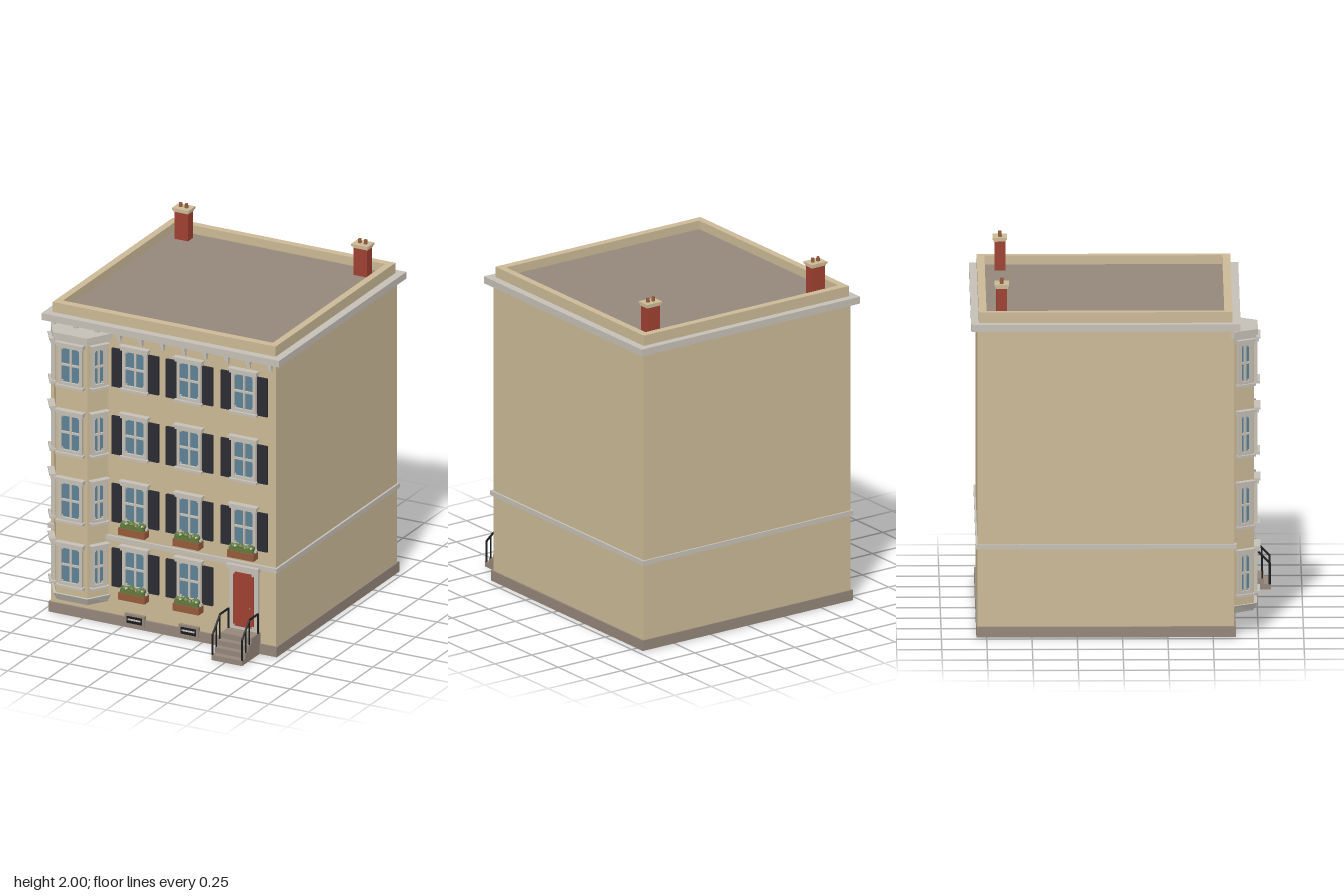
import * as THREE from 'three';

const mat = (name, color) => {
  const m = new THREE.MeshStandardMaterial({ color });
  m.name = name;
  return m;
};
const M = {
  wall: mat('sandWall', 0xcbb996),
  trim: mat('paleTrim', 0xc5c0b6),
  stone: mat('brownStone', 0x94867a),
  red: mat('brickRed', 0x9e4030),
  glass: mat('windowGlass', 0x5d8397),
  shutter: mat('darkShutter', 0x2b2b34),
  clay: mat('terracotta', 0x955a3a),
  leaf: mat('leafGreen', 0x5f7a3c),
  iron: mat('blackIron', 0x1a1b1e),
  flower: mat('flowerCream', 0xd8c8b8),
};

const FRONT = 0.615, BACK = -0.8, MID = (FRONT + BACK) / 2;

function add(parent, name, geo, material, x = 0, y = 0, z = 0) {
  const mesh = new THREE.Mesh(geo, material);
  mesh.name = name;
  mesh.position.set(x, y, z);
  parent.add(mesh);
  return mesh;
}

// Box given by its x centre, width, y range and z range
function block(parent, name, material, x, w, y0, y1, z0, z1) {
  return add(parent, name, new THREE.BoxGeometry(w, y1 - y0, z1 - z0), material, x, (y0 + y1) / 2, (z0 + z1) / 2);
}

function group(parent, name, x = 0, y = 0, z = 0, ry = 0) {
  const g = new THREE.Group();
  g.name = name;
  g.position.set(x, y, z);
  g.rotation.y = ry;
  parent.add(g);
  return g;
}

function rectPoints(x0, x1, y0, y1) {
  return [[x0, y0], [x1, y0], [x1, y1], [x0, y1]].map(p => new THREE.Vector2(...p));
}

// Upright prism from a plan outline in x, z
function prism(plan, h) {
  const shape = new THREE.Shape(plan.map(([x, z]) => new THREE.Vector2(x, -z)));
  return new THREE.ExtrudeGeometry(shape, { depth: h, bevelEnabled: false }).rotateX(-Math.PI / 2);
}

function rod(parent, name, a, b, r, material) {
  const A = new THREE.Vector3(...a), B = new THREE.Vector3(...b);
  const m = add(parent, name, new THREE.CylinderGeometry(r, r, A.distanceTo(B), 8), material);
  m.position.copy(A).add(B).multiplyScalar(0.5);
  m.quaternion.setFromUnitVectors(new THREE.Vector3(0, 1, 0), B.clone().sub(A).normalize());
}

// Window with its sill at local y = 0 and the wall at local z = 0
function addWindow(parent, x, y, z, ry, w, shutters) {
  const g = group(parent, 'window', x, y, z, ry);
  const gw = w - 0.034, y0 = 0.03, y1 = 0.232;
  const frame = new THREE.Shape(rectPoints(-w / 2, w / 2, 0.01, 0.245));
  frame.holes.push(new THREE.Path(rectPoints(-gw / 2, gw / 2, y0, y1)));
  add(g, 'windowFrame', new THREE.ExtrudeGeometry(frame, { depth: 0.02, bevelEnabled: false }), M.trim);
  block(g, 'glass', M.glass, 0, gw, y0, y1, 0, 0.006);
  block(g, 'verticalBar', M.trim, 0, 0.012, y0, y1, 0.004, 0.014);
  block(g, 'horizontalBar', M.trim, 0, gw, 0.126, 0.138, 0.004, 0.016);
  for (const s of [-1, 1]) for (const cy of [y0 + 0.005, y1 - 0.005])
    block(g, 'cornerBlock', M.trim, s * (gw / 2 - 0.005), 0.01, cy - 0.005, cy + 0.005, 0.004, 0.014);
  block(g, 'lintel', M.trim, 0, w + 0.016, 0.238, 0.256, 0, 0.028);
  block(g, 'lintelCap', M.trim, 0, w + 0.028, 0.256, 0.267, 0, 0.036);
  block(g, 'sill', M.trim, 0, w + 0.022, 0, 0.014, 0, 0.034);
  if (shutters) for (const s of [-1, 1])
    block(g, 'shutter', M.shutter, s * 0.114, 0.064, 0.008, 0.235, 0, 0.014);
}

// Planter with leaves and small flowers hanging under a sill
function addWindowBox(parent, x, y) {
  const g = group(parent, 'windowBox', x, y, FRONT);
  block(g, 'planter', M.clay, 0, 0.165, -0.042, 0, 0, 0.055);
  block(g, 'foliage', M.leaf, 0, 0.15, 0, 0.02, 0.005, 0.05);
  for (let i = 0; i < 6; i++) {
    const px = -0.062 + i * 0.025;
    const leaf = add(g, 'leaves', new THREE.IcosahedronGeometry(0.019, 0), M.leaf, px, 0.02 + (i % 3) * 0.004, 0.028 + (i % 2) * 0.008);
    leaf.rotation.y = i;
    if (i % 2) add(g, 'flower', new THREE.IcosahedronGeometry(0.007, 0), i === 3 ? M.clay : M.flower, px, 0.03, 0.05);
  }
}

export function createModel() {
  const root = new THREE.Group();
  root.name = 'townhouse';

  // Main block with plinth, string course and cornice
  block(root, 'plinth', M.stone, 0, 1.43, 0, 0.06, -0.807, 0.626);
  block(root, 'walls', M.wall, 0, 1.41, 0.06, 1.75, BACK, FRONT);
  block(root, 'stringCourse', M.trim, 0, 1.434, 0.5, 0.527, -0.81, 0.63);
  block(root, 'cornice', M.trim, 0, 1.488, 1.74, 1.78, -0.835, 0.652);

  // Parapet ring and flat roof
  const ring = new THREE.Shape(rectPoints(-0.698, 0.698, -0.607, 0.793));
  ring.holes.push(new THREE.Path(rectPoints(-0.657, 0.657, -0.562, 0.75)));
  add(root, 'parapet', new THREE.ExtrudeGeometry(ring, { depth: 0.06, bevelEnabled: false }).rotateX(-Math.PI / 2), M.wall, 0, 1.78, 0);
  block(root, 'roof', M.stone, 0, 1.32, 1.775, 1.79, -0.755, 0.567);

  // Cornice brackets: front face only
  for (let i = -5; i <= 5; i++) {
    block(root, 'bracket', M.trim, i * 0.135, 0.024, 1.715, 1.74, FRONT, 0.642);
    block(root, 'bracketFoot', M.trim, i * 0.135, 0.017, 1.69, 1.715, FRONT, 0.63);
  }

  // Chimneys
  for (const s of [-1, 1]) {
    const c = group(root, 'chimney', s * 0.561, 0, -0.666);
    block(c, 'stack', M.red, 0, 0.085, 1.785, 1.955, -0.03, 0.03);
    block(c, 'lowerCap', M.wall, 0, 0.094, 1.953, 1.964, -0.034, 0.034);
    block(c, 'upperCap', M.wall, 0, 0.105, 1.964, 1.976, -0.04, 0.04);
    for (const t of [-1, 1])
      add(c, 'chimneyPot', new THREE.CylinderGeometry(0.009, 0.011, 0.026, 12), M.clay, t * 0.018, 1.987, 0);
  }

  // Bay: canted plan, grown outward by d for the mouldings
  const BX = -0.515;
  const plan = d => [
    [BX - 0.17 - d, 0.6], [BX - 0.17 - d, FRONT], [BX - 0.098 - d * 0.5, 0.727 + d],
    [BX + 0.098 + d * 0.5, 0.727 + d], [BX + 0.17 + d, FRONT], [BX + 0.17 + d, 0.6]];
  const bay = group(root, 'bay');
  add(bay, 'bayWalls', prism(plan(0), 1.53), M.wall, 0, 0.165, 0);
  add(bay, 'bayNeck', prism(plan(0.01), 0.02), M.trim, 0, 1.675, 0);
  add(bay, 'bayCap', prism(plan(0.021), 0.034), M.trim, 0, 1.692, 0);
  const foot = prism(plan(0.016), 0.043);
  const fp = foot.attributes.position;
  for (let i = 0; i < fp.count; i++) if (fp.getY(i) < 0.01) {
    fp.setX(i, BX + (fp.getX(i) - BX) * 0.9);
    fp.setZ(i, 0.6 + (fp.getZ(i) - 0.6) * 0.85);
  }
  foot.computeVertexNormals();
  add(bay, 'bayFoot', foot, M.trim, 0, 0.128, 0);

  // Windows, with shutters on the flat wall and narrow lights on the bay sides
  const rows = [0.22, 0.605, 1.008, 1.41], cols = [-0.172, 0.167, 0.51];
  const cant = Math.atan2(0.112, 0.072);
  rows.forEach((y, r) => {
    addWindow(bay, BX, y, 0.727, 0, 0.148, false);
    for (const s of [-1, 1]) addWindow(bay, BX + s * 0.134, y, 0.671, s * cant, 0.09, false);
    cols.forEach((x, c) => {
      if (r === 0 && c === 2) return;
      addWindow(root, x, y, FRONT, 0, 0.152, true);
      if (r < 2) addWindowBox(root, x, y - 0.003);
    });
  });

  // Basement vents
  for (const x of cols.slice(0, 2)) {
    const v = group(root, 'basementVent', x);
    block(v, 'ventSurround', M.stone, 0, 0.125, 0.02, 0.085, 0.61, 0.634);
    block(v, 'ventOpening', M.iron, 0, 0.095, 0.032, 0.072, 0.63, 0.637);
    block(v, 'ventSlat', M.trim, 0, 0.08, 0.05, 0.059, 0.634, 0.64);
  }

  // Entrance door
  const DX = 0.511;
  const door = group(root, 'entrance', DX);
  block(door, 'doorSurround', M.trim, 0, 0.182, 0.125, 0.49, 0.61, 0.632);
  block(door, 'doorHeader', M.trim, 0, 0.2, 0.485, 0.51, 0.61, 0.652);
  block(door, 'doorLeaf', M.red, 0, 0.128, 0.145, 0.465, 0.63, 0.637);
  for (const s of [-1, 1]) for (const y of [0.15, 0.46])
    block(door, 'doorCorner', M.trim, s * 0.059, 0.012, y - 0.006, y + 0.006, 0.63, 0.639);
  add(door, 'doorKnob', new THREE.SphereGeometry(0.007, 10, 8), M.clay, 0.044, 0.262, 0.642);

  // Steps up to the door
  [0.125, 0.093, 0.062, 0.031].forEach((h, i) =>
    block(root, 'step', M.stone, DX, 0.192, i ? 0 : 0.0, h, i ? 0.685 + i * 0.035 : 0.61, [0.722, 0.757, 0.792, 0.83][i]));

  // Iron handrails
  for (const s of [-1, 1]) {
    const x = DX + s * 0.092;
    const rail = group(root, 'handrail');
    const seg = (a, b, r) => rod(rail, 'railBar', [x, ...a], [x, ...b], r, M.iron);
    seg([0.24, 0.637], [0.24, 0.738], 0.006);
    seg([0.24, 0.736], [0.148, 0.824], 0.006);
    seg([0.125, 0.637], [0.242, 0.637], 0.006);
    seg([0.09, 0.738], [0.242, 0.738], 0.004);
    seg([0.06, 0.781], [0.193, 0.781], 0.004);
    seg([0.03, 0.823], [0.152, 0.823], 0.006);
  }
  return root;
}
